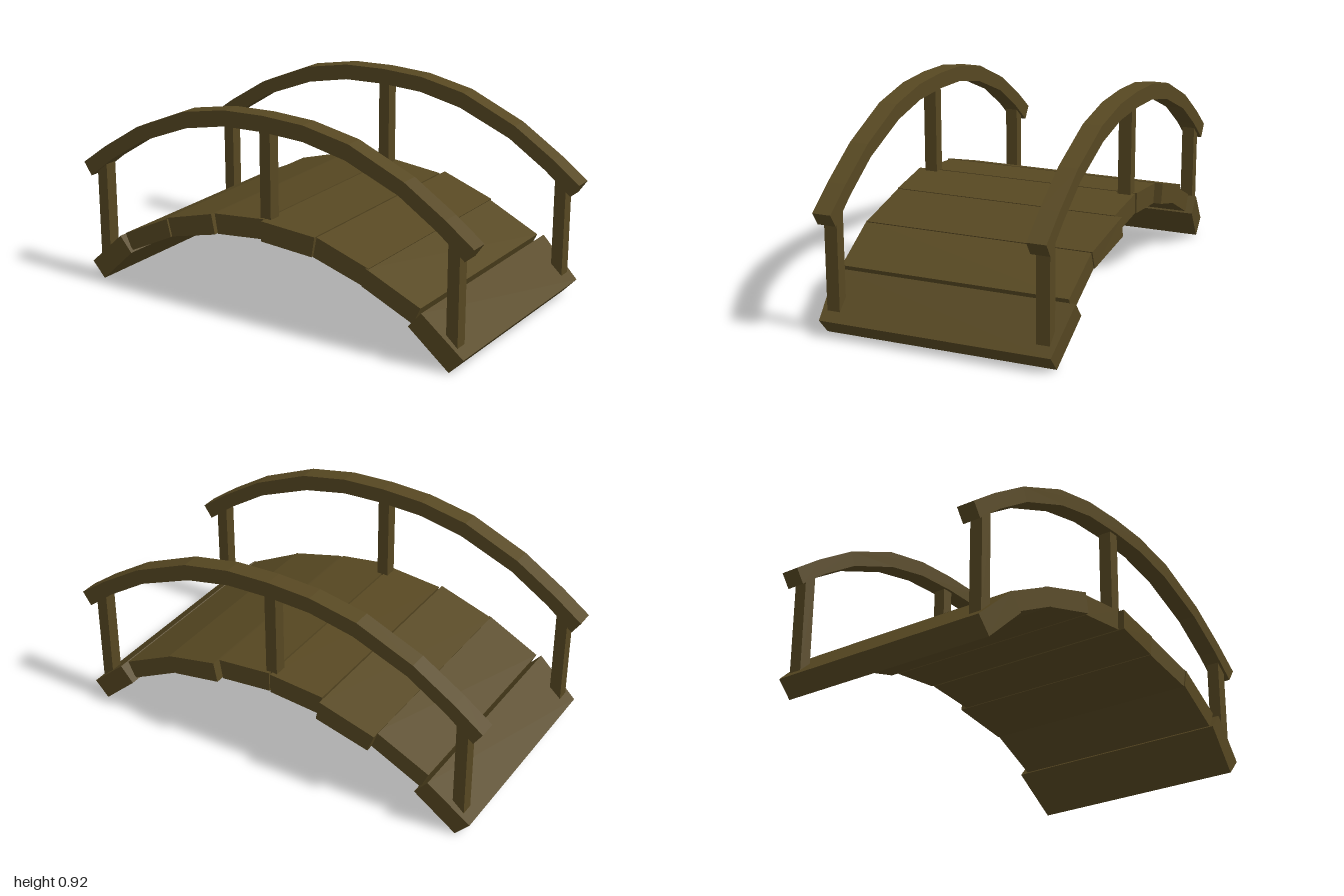
import * as THREE from 'three';

const wood = new THREE.MeshStandardMaterial({ color: 0x574822, flatShading: true });
wood.name = 'dark wood';

// Side outlines of one half of the deck: [inner top, outer top, inner bottom, outer bottom]
const PLANKS = [
  [[0.004, 0.47], [0.26, 0.445], [0.004, 0.38], [0.245, 0.355]],
  [[0.268, 0.445], [0.53, 0.37], [0.25, 0.355], [0.5, 0.29]],
  [[0.52, 0.37], [0.77, 0.25], [0.5, 0.29], [0.735, 0.175]],
  [[0.785, 0.24], [0.97, 0.075], [0.725, 0.17], [0.905, 0.005]],
];

// Unevenly sawn ends, left to right in x: [front at -x, front at +x, back at -x, back at +x]
const ENDS = [
  [0.515, 0.53, -0.51, -0.54],
  [0.51, 0.52, -0.505, -0.505],
  [0.51, 0.525, -0.54, -0.54],
  [0.51, 0.51, -0.505, -0.51],
  [0.535, 0.515, -0.505, -0.505],
  [0.51, 0.525, -0.54, -0.51],
  [0.53, 0.515, -0.505, -0.505],
  [0.535, 0.515, -0.54, -0.51],
];

// Box whose corners are moved onto the plank outline and its sawn ends
function makePlank(outline, side, ends) {
  const geometry = new THREE.BoxGeometry(1, 1, 1);
  const p = geometry.attributes.position;
  for (let i = 0; i < p.count; i++) {
    const right = p.getX(i) > 0;
    const outer = right === side > 0;
    const [x, y] = outline[(p.getY(i) > 0 ? 0 : 2) + (outer ? 1 : 0)];
    const z = ends[(p.getZ(i) > 0 ? 0 : 2) + (right ? 1 : 0)];
    p.setXYZ(i, x * side, y, z);
  }
  geometry.computeVertexNormals();
  return new THREE.Mesh(geometry, wood);
}

// Arched handrail: half outline mirrored in x, extruded across its width
function makeRail() {
  const top = [[0, 0.92], [0.2, 0.912], [0.42, 0.87], [0.68, 0.76], [0.87, 0.64], [1, 0.545]];
  const bottom = [[0, 0.85], [0.2, 0.842], [0.405, 0.8], [0.655, 0.7], [0.835, 0.585], [0.96, 0.487]];
  const mirror = (half) => [
    ...half.slice(1).reverse().map(([x, y]) => [-x, y]),
    ...half,
  ];
  const outline = [...mirror(bottom), ...mirror(top).reverse()];
  const shape = new THREE.Shape(outline.map(([x, y]) => new THREE.Vector2(x, y)));
  const geometry = new THREE.ExtrudeGeometry(shape, { depth: 0.083, bevelEnabled: false });
  geometry.translate(0, 0, -0.0415);
  return new THREE.Mesh(geometry, wood);
}

function makePost(x, bottom, top) {
  const post = new THREE.Mesh(new THREE.BoxGeometry(0.053, top - bottom, 0.058), wood);
  post.position.set(x, (top + bottom) / 2, 0);
  return post;
}

export function createModel() {
  const bridge = new THREE.Group();
  bridge.name = 'footbridge';

  // Deck of eight planks
  const deck = new THREE.Group();
  deck.name = 'deck';
  ENDS.forEach((ends, i) => {
    const side = i < 4 ? -1 : 1;
    const plank = makePlank(PLANKS[i < 4 ? 3 - i : i - 4], side, ends);
    plank.name = `plank${i + 1}`;
    deck.add(plank);
  });
  bridge.add(deck);

  // Railings on both long edges
  for (const [name, z] of [['frontRailing', 0.467], ['backRailing', -0.462]]) {
    const railing = new THREE.Group();
    railing.name = name;
    const rail = makeRail();
    rail.name = 'handrail';
    railing.add(rail);
    const posts = [
      ['rightPost', -0.905, 0.105, 0.575],
      ['middlePost', 0, 0.4, 0.88],
      ['leftPost', 0.905, 0.105, 0.575],
    ];
    for (const [postName, x, bottom, top] of posts) {
      const post = makePost(x, bottom, top);
      post.name = postName;
      railing.add(post);
    }
    railing.position.z = z;
    bridge.add(railing);
  }
  return bridge;
}
